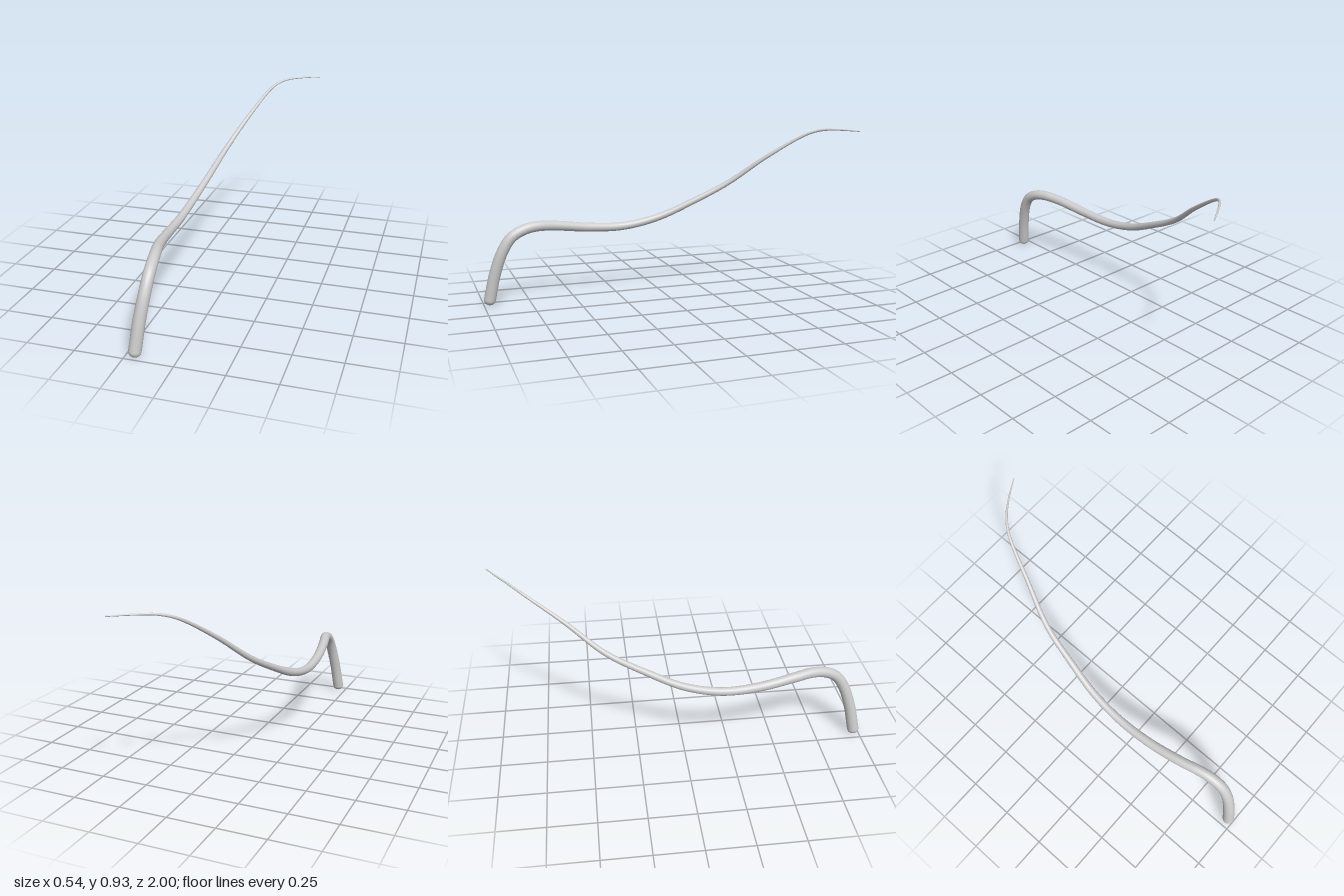
import * as THREE from 'three';

export function createModel() {
  const group = new THREE.Group();
  const material = new THREE.MeshStandardMaterial({ color: 0xcccccc });

  // Centre line, from the thick foot to the thin tip
  const path = new THREE.CatmullRomCurve3([
    [-0.202, 0.03, 0.968], [-0.186, 0.18, 0.936], [-0.172, 0.3, 0.894],
    [-0.168, 0.372, 0.845], [-0.174, 0.409, 0.775], [-0.188, 0.42, 0.7],
    [-0.211, 0.413, 0.6], [-0.239, 0.387, 0.4], [-0.247, 0.381, 0.2],
    [-0.236, 0.421, 0], [-0.202, 0.507, -0.2], [-0.159, 0.611, -0.4],
    [-0.075, 0.761, -0.6], [0.017, 0.89, -0.8], [0.077, 0.919, -0.87],
    [0.155, 0.925, -0.93], [0.266, 0.922, -0.999],
  ].map(p => new THREE.Vector3(...p)));
  path.arcLengthDivisions = 600;

  const rings = 160, sides = 24;
  const radiusAt = t => 0.032 * (1 - 0.91 * t ** 1.3);

  // Tapered stem: a unit tube with each ring drawn in to its own radius
  const stem = new THREE.TubeGeometry(path, rings, 1, sides, false);
  const { position, normal } = stem.attributes;
  for (let i = 0; i <= rings; i++) {
    const centre = path.getPointAt(i / rings);
    const r = radiusAt(i / rings);
    for (let j = 0; j <= sides; j++) {
      const k = i * (sides + 1) + j;
      const v = new THREE.Vector3().fromBufferAttribute(normal, k).multiplyScalar(r).add(centre);
      position.setXYZ(k, v.x, v.y, v.z);
    }
  }
  const stemMesh = new THREE.Mesh(stem, material);
  stemMesh.name = 'stem';
  group.add(stemMesh);

  // Domed ends, facing outwards along the path
  const addEnd = (name, t, dir) => {
    const dome = new THREE.Mesh(
      new THREE.SphereGeometry(radiusAt(t), sides, 8, 0, Math.PI * 2, 0, Math.PI / 2), material);
    dome.name = name;
    dome.scale.y = 0.92;
    dome.position.copy(path.getPointAt(t));
    dome.quaternion.setFromUnitVectors(
      new THREE.Vector3(0, 1, 0), path.getTangentAt(t).multiplyScalar(dir));
    group.add(dome);
  };
  addEnd('footCap', 0, -1);
  addEnd('tipCap', 1, 1);

  return group;
}
